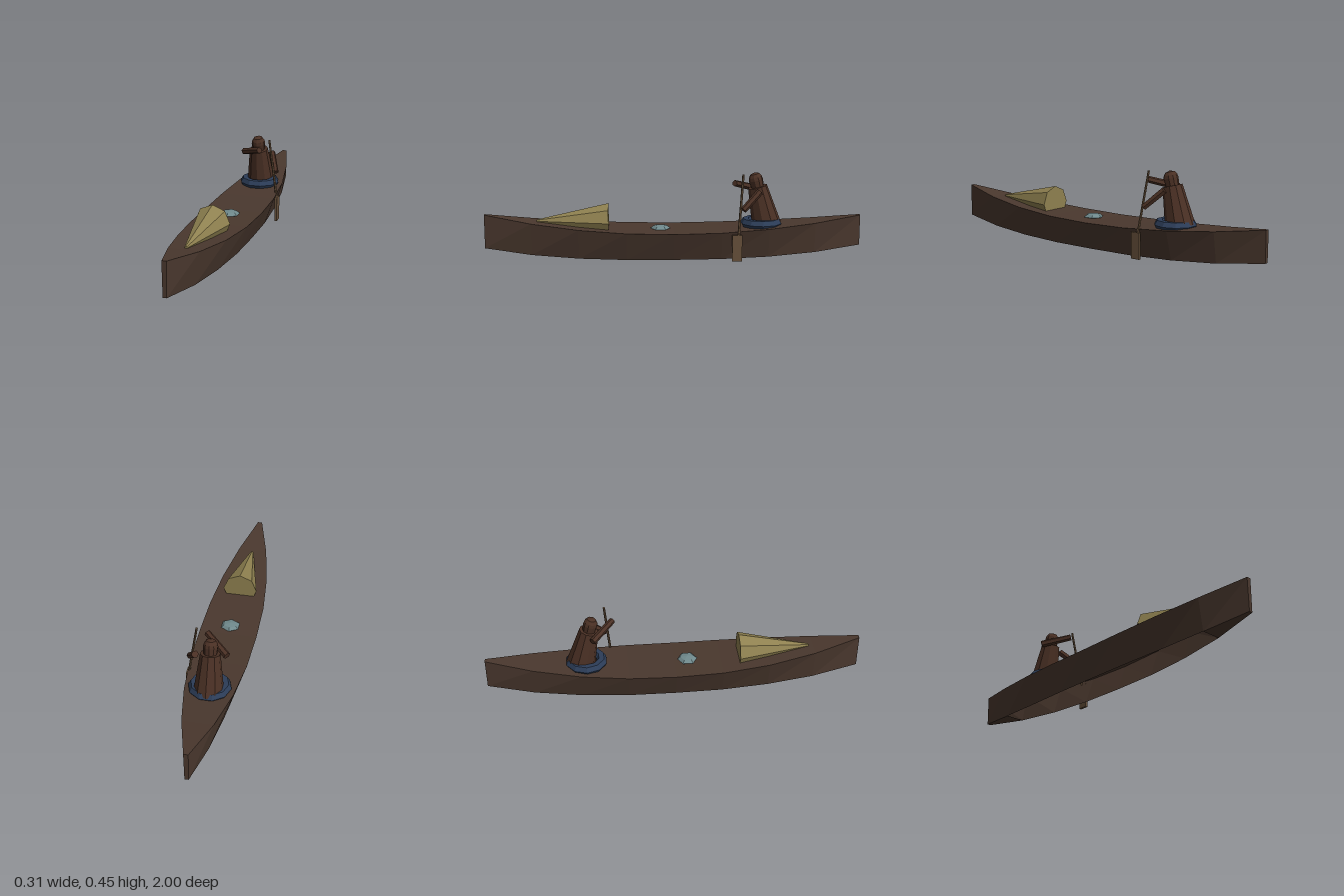
import * as THREE from 'three';

const mat = (color, side = THREE.FrontSide) => new THREE.MeshStandardMaterial({ color, side, flatShading: true });
const hullMat = mat(0x4a382e, THREE.DoubleSide);
const paddlerMat = mat(0x4a3024);
const tarpMat = mat(0x8f8150);
const rimMat = mat(0x2c3d58);
const hatchMat = mat(0x6f898c);
const woodMat = mat(0x66503a);

function add(parent, name, geometry, material, x = 0, y = 0, z = 0) {
  const mesh = new THREE.Mesh(geometry, material);
  mesh.name = name;
  mesh.position.set(x, y, z);
  parent.add(mesh);
  return mesh;
}

// Straight limb or pole between two points
function bar(parent, name, from, to, r0, r1, sides, material) {
  const a = new THREE.Vector3(...from), b = new THREE.Vector3(...to);
  const dir = b.clone().sub(a);
  const mesh = add(parent, name, new THREE.CylinderGeometry(r1, r0, dir.length(), sides), material);
  mesh.position.copy(a).add(b).multiplyScalar(0.5);
  mesh.quaternion.setFromUnitVectors(new THREE.Vector3(0, 1, 0), dir.normalize());
  return mesh;
}

// Hull: four-cornered sections along z, open underneath except at the ends
function hullGeometry() {
  const topHalf = [0.155, 0.15, 0.126, 0.08, 0.012];
  const bottomHalf = [0.1, 0.097, 0.081, 0.054, 0.01];
  const sections = [];
  for (let i = -4; i <= 4; i++) {
    const z = i / 4, k = Math.abs(i);
    const top = 0.148 + (z > 0 ? 0.084 : 0.067) * z * z;
    const low = 0.052 * Math.pow(Math.abs(z), 2.8);
    const t = topHalf[k], b = bottomHalf[k];
    sections.push([[-t, top, z], [t, top, z], [b, low, z], [-b, low, z]]);
  }
  const pos = [];
  const quad = (a, b, c, d) => pos.push(...a, ...b, ...c, ...a, ...c, ...d);
  const last = sections.length - 1;
  for (let s = 0; s < last; s++) {
    const p = sections[s], q = sections[s + 1];
    for (let i = 0; i < 4; i++) {
      if (i === 2 && s > 0 && s < last - 1) continue;
      const j = (i + 1) % 4;
      quad(p[i], q[i], q[j], p[j]);
    }
  }
  quad(...sections[0]);
  quad(...[...sections[last]].reverse());
  const g = new THREE.BufferGeometry();
  g.setAttribute('position', new THREE.Float32BufferAttribute(pos, 3));
  g.computeVertexNormals();
  return g;
}

export function createModel() {
  const model = new THREE.Group();
  model.name = 'kayak';

  add(model, 'hull', hullGeometry(), hullMat);

  // Tapered bundle on the foredeck, sunk to its middle
  const tarp = new THREE.CylinderGeometry(0.008, 0.093, 0.38, 8);
  tarp.rotateX(Math.PI / 2);
  add(model, 'deckBundle', tarp, tarpMat, 0, 0.195, 0.535);

  // Flattened deck fitting
  const hatch = new THREE.SphereGeometry(0.053, 6, 4);
  hatch.rotateY(Math.PI / 2);
  hatch.scale(1, 0.35, 1);
  add(model, 'deckFitting', hatch, hatchMat, 0, 0.151, 0.07);

  // Cockpit rim
  const rim = new THREE.TorusGeometry(0.083, 0.028, 6, 10);
  rim.rotateX(Math.PI / 2);
  add(model, 'cockpitRim', rim, rimMat, 0, 0.176, -0.468);

  // Paddler leaning forward
  const paddler = new THREE.Group();
  paddler.name = 'paddler';
  model.add(paddler);
  bar(paddler, 'torso', [0, 0.165, -0.498], [0, 0.371, -0.447], 0.078, 0.051, 10, paddlerMat);
  const profile = [[0, -0.04], [0.034, -0.038], [0.038, 0], [0.035, 0.016], [0.024, 0.033], [0, 0.04]]
    .map(([r, y]) => new THREE.Vector2(r, y));
  const head = add(paddler, 'head', new THREE.LatheGeometry(profile, 10), paddlerMat, 0, 0.407, -0.438);
  head.rotation.x = 0.25;
  bar(paddler, 'rightArm', [-0.08, 0.354, -0.43], [0.041, 0.397, -0.322], 0.019, 0.017, 6, paddlerMat);
  bar(paddler, 'leftArm', [0.076, 0.356, -0.45], [0.125, 0.268, -0.36], 0.019, 0.017, 6, paddlerMat);

  // Paddle
  const paddle = new THREE.Group();
  paddle.name = 'paddle';
  model.add(paddle);
  bar(paddle, 'paddleShaft', [0.143, 0.11, -0.333], [0.086, 0.45, -0.362], 0.007, 0.006, 6, woodMat);
  add(paddle, 'paddleBlade', new THREE.BoxGeometry(0.013, 0.138, 0.052), woodMat, 0.1445, 0.07, -0.327);

  return model;
}
